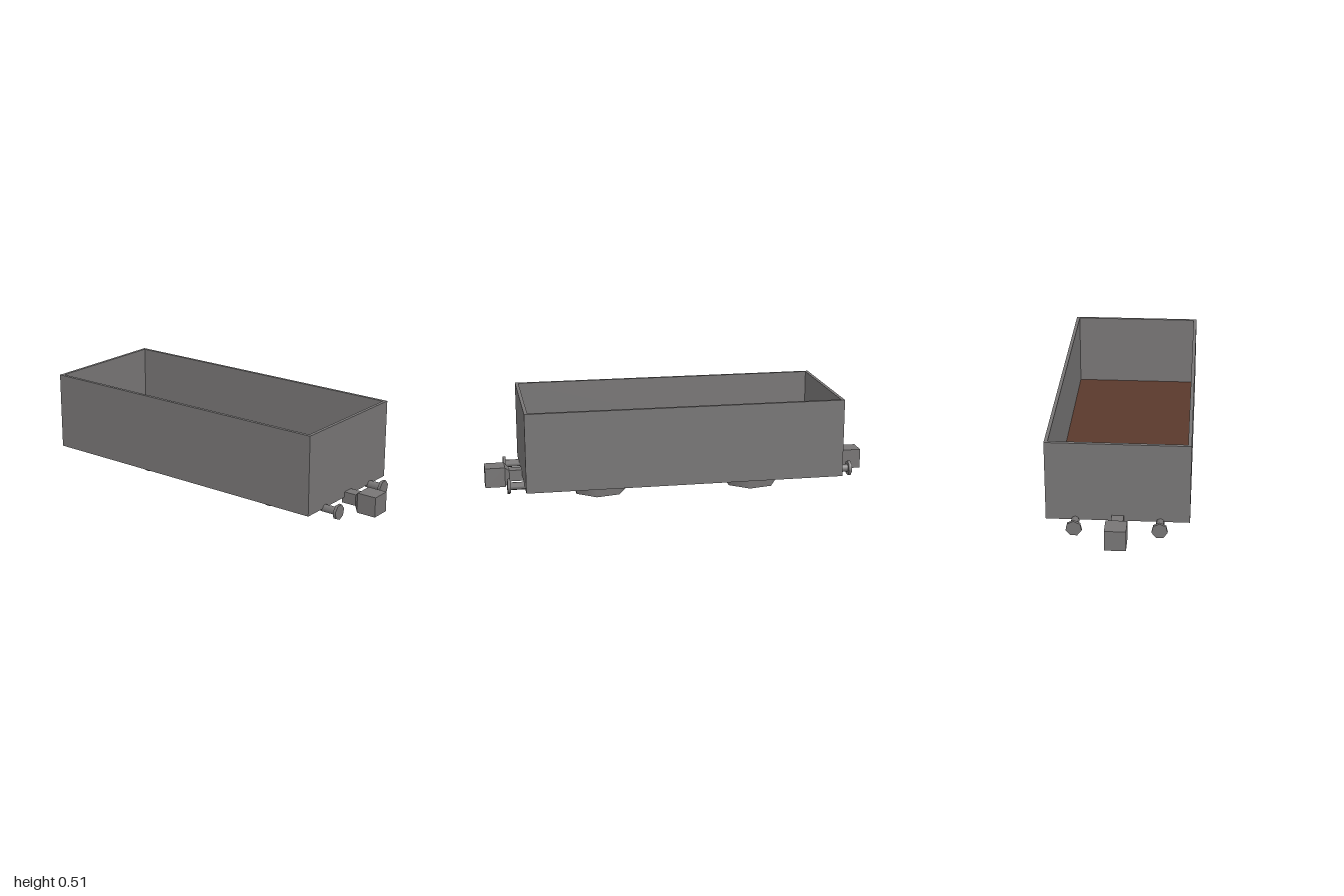
import * as THREE from 'three';

export function createModel() {
  const model = new THREE.Group();
  const steel = new THREE.MeshStandardMaterial({ color: 0x777575 });
  steel.name = 'grey steel';
  const rust = new THREE.MeshStandardMaterial({ color: 0x5a392c });
  rust.name = 'brown floor';

  const add = (parent, name, geometry, material, x = 0, y = 0, z = 0) => {
    const mesh = new THREE.Mesh(geometry, material);
    mesh.name = name;
    mesh.position.set(x, y, z);
    parent.add(mesh);
    return mesh;
  };

  // Open wagon body: an extruded rectangular wall ring with a base plate
  const W = 0.343, L = 0.81, T = 0.017, Y0 = 0.107, Y1 = 0.51;
  const rect = (Type, w, l) => new Type([
    new THREE.Vector2(-w, -l), new THREE.Vector2(w, -l),
    new THREE.Vector2(w, l), new THREE.Vector2(-w, l),
  ]);
  const ring = rect(THREE.Shape, W, L);
  ring.holes.push(rect(THREE.Path, W - T, L - T));
  const walls = new THREE.ExtrudeGeometry(ring, { depth: Y1 - Y0, bevelEnabled: false });
  walls.rotateX(-Math.PI / 2);
  add(model, 'wagonWalls', walls, steel, 0, Y0);
  add(model, 'basePlate', new THREE.BoxGeometry(2 * (W - T), 0.012, 2 * (L - T)), steel, 0, Y0 + 0.006);
  add(model, 'cargoFloor', new THREE.BoxGeometry(2 * (W - T), 0.006, 2 * (L - T)), rust, 0, Y0 + 0.015);

  // Seven-sided bogie drums under the body
  for (const z of [0.405, -0.405]) {
    const drum = new THREE.CylinderGeometry(0.143, 0.143, Y0, 7).rotateY(Math.PI);
    add(model, 'bogieDrum', drum, steel, 0, Y0 / 2, z);
  }

  // Coupler and a pair of buffers on each end
  for (const s of [1, -1]) {
    const end = new THREE.Group();
    end.name = s > 0 ? 'frontCouplings' : 'backCouplings';

    add(end, 'couplerBlock', new THREE.BoxGeometry(0.102, 0.102, 0.102), steel, 0, 0.106, 0.949);
    add(end, 'couplerBar', new THREE.BoxGeometry(0.058, 0.058, 0.08), steel, 0, 0.106, 0.836);
    // Square taper joining bar to block
    const taper = new THREE.CylinderGeometry(0.051 * Math.SQRT2, 0.029 * Math.SQRT2, 0.024, 4, 1, true)
      .toNonIndexed().rotateY(Math.PI / 4).rotateX(Math.PI / 2);
    taper.computeVertexNormals();
    add(end, 'couplerTaper', taper, steel, 0, 0.106, 0.887);

    for (const x of [0.202, -0.202]) {
      const stem = new THREE.CylinderGeometry(0.02, 0.02, 0.085, 7).rotateX(s * Math.PI / 2);
      add(end, 'bufferStem', stem, steel, x, 0.105, 0.838);
      const disc = new THREE.CylinderGeometry(0.039, 0.039, 0.015, 7).rotateX(s * Math.PI / 2);
      add(end, 'bufferDisc', disc, steel, x, 0.105, 0.888);
    }

    if (s < 0) end.rotation.y = Math.PI;
    model.add(end);
  }
  return model;
}
